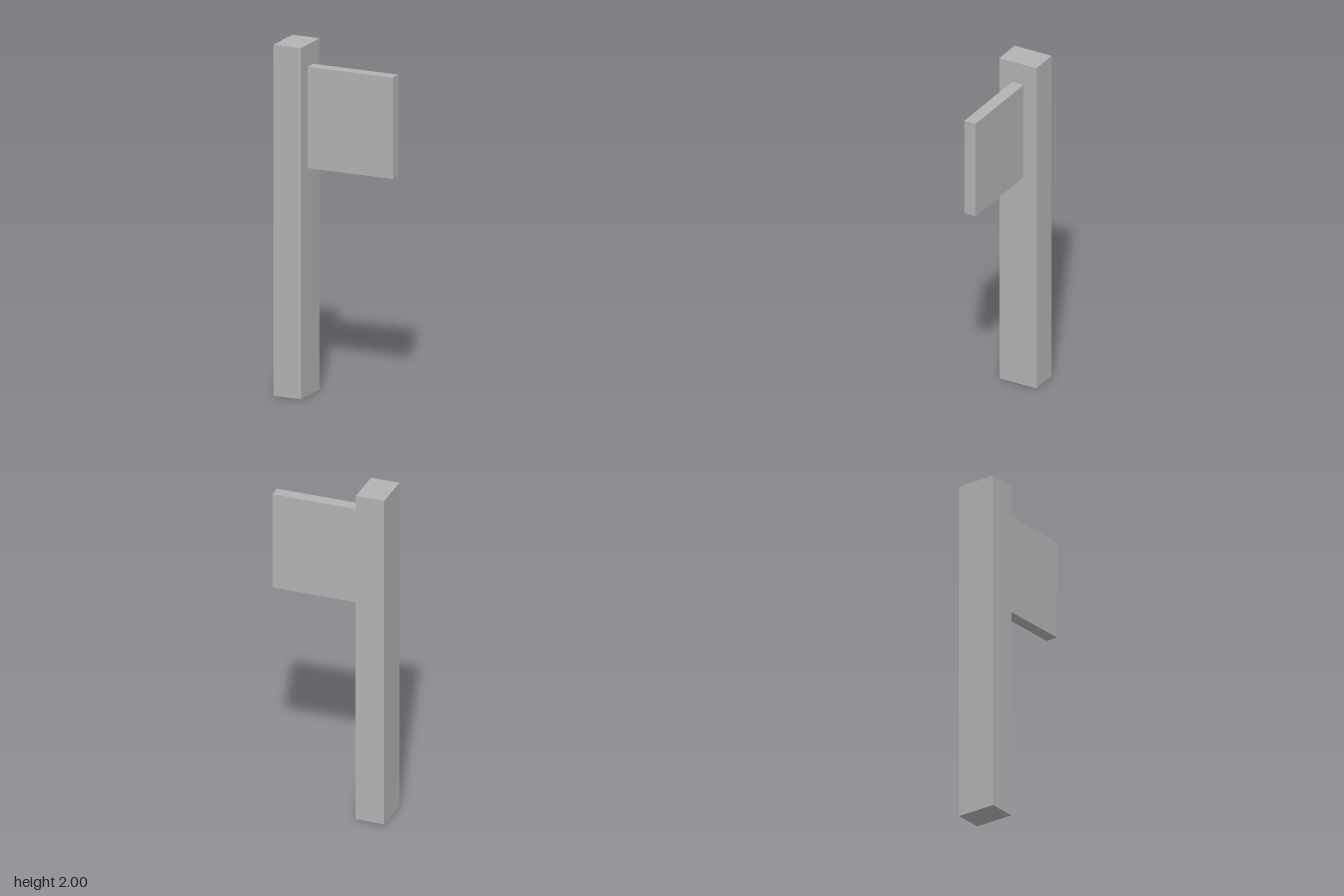
import * as THREE from 'three';

// Box given by its min and max corners
function addBox(group, name, material, min, max) {
  const size = max.map((v, i) => v - min[i]);
  const mesh = new THREE.Mesh(new THREE.BoxGeometry(...size), material);
  mesh.position.set(...max.map((v, i) => (v + min[i]) / 2));
  mesh.name = name;
  group.add(mesh);
}

export function createModel() {
  const model = new THREE.Group();
  model.name = 'signPost';

  const grey = new THREE.MeshStandardMaterial({ color: 0xb2b2b2 });
  grey.name = 'grey';

  // Upright post, with the sign panel fixed to its left side
  addBox(model, 'post', grey, [-0.346, 0, -0.118], [-0.178, 2, 0.118]);
  addBox(model, 'signPanel', grey, [-0.178, 1.297, -0.036], [0.346, 1.874, 0.036]);

  return model;
}
